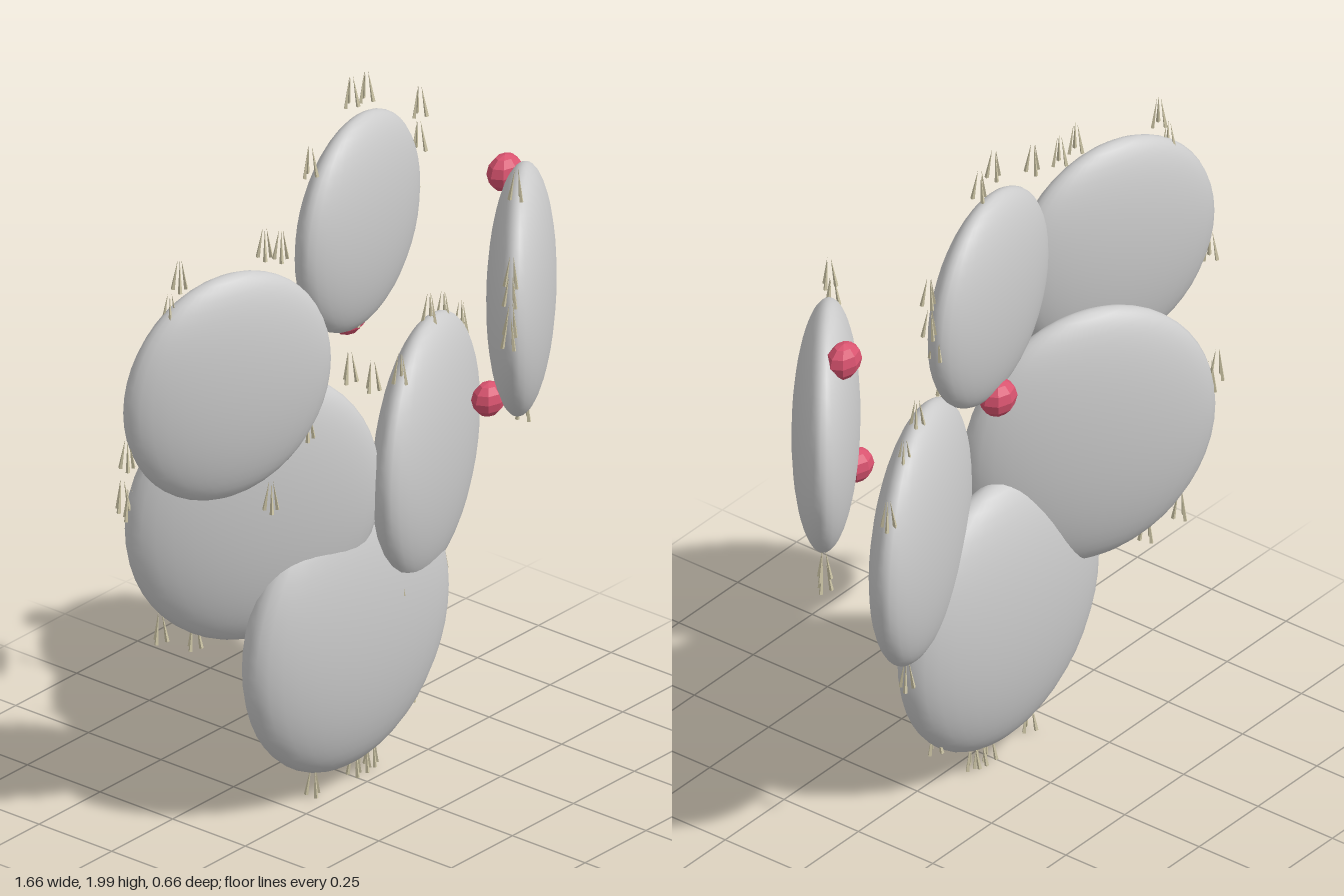
import * as THREE from 'three';

const padMat = new THREE.MeshStandardMaterial({ color: 0xcccccc });
const fruitMat = new THREE.MeshStandardMaterial({ color: 0xd9536f, flatShading: true });
const spineMat = new THREE.MeshStandardMaterial({ color: 0xd0c8a8, flatShading: true });

const padGeo = new THREE.SphereGeometry(1, 32, 24);
const fruitGeo = new THREE.SphereGeometry(1, 8, 6);
const spineGeo = new THREE.ConeGeometry(0.006, 0.09, 4);

// Each pad: centre, radii, yaw in degrees, and spine clusters as [x, y] near its rim
const PADS = [
  { name: 'basePad', at: [-0.03, 0.45, -0.05], r: [0.4, 0.4, 0.12], yaw: 0,
    spines: [[-0.16, 0.05], [0.01, 0.045], [0.05, 0.045], [0.08, 0.05], [0.24, 0.18]] },
  { name: 'lowerRightPad', at: [-0.315, 0.89, -0.13], r: [0.37, 0.385, 0.1], yaw: -25,
    spines: [[-0.47, 0.55], [-0.56, 0.59], [-0.64, 0.97], [-0.6, 0.94], [-0.06, 1.24], [0, 1.2], [-0.66, 1.0]] },
  { name: 'lowerLeftPad', at: [0.3, 0.86, -0.05], r: [0.36, 0.36, 0.095], yaw: 22,
    spines: [[0.08, 0.58], [0.42, 0.49], [0.44, 1.2], [0.33, 1.25], [0.58, 1.1], [0.1, 1.19]] },
  { name: 'upperRightPad', at: [-0.515, 1.345, -0.05], r: [0.325, 0.325, 0.088], yaw: -16,
    spines: [[-0.66, 1.71], [-0.69, 1.62], [-0.4, 1.73], [-0.35, 1.71], [-0.27, 1.16], [-0.38, 0.98], [-0.82, 1.23]] },
  { name: 'topPad', at: [0.135, 1.552, -0.147], r: [0.305, 0.303, 0.086], yaw: 11,
    spines: [[0.1, 1.95], [0.18, 1.93], [-0.12, 1.84], [0.465, 1.76], [0.46, 1.66], [0.42, 1.57], [0.1, 1.3], [-0.14, 1.45]] },
  { name: 'upperLeftPad', at: [0.543, 1.268, 0.075], r: [0.337, 0.338, 0.09], yaw: 35.8,
    spines: [[0.21, 1.34], [0.26, 1.35], [0.25, 1.44], [0.28, 1.48], [0.42, 1.65], [0.67, 0.93], [0.64, 0.87]] },
];

// Fruits: position and radii
const FRUITS = [
  [[0.143, 1.258, -0.187], [0.058, 0.052, 0.047]],
  [[0.61, 1.55, -0.038], [0.058, 0.052, 0.042]],
  [[0.355, 1.03, 0.12], [0.052, 0.048, 0.042]],
];

// A tuft of three thin spines whose tips lean together
function spineCluster(x, y, z, turn) {
  const tuft = new THREE.Group();
  tuft.name = 'spineCluster';
  for (let i = 0; i < 3; i++) {
    const arm = new THREE.Group();
    arm.rotation.y = turn + (i * Math.PI * 2) / 3;
    const spine = new THREE.Mesh(spineGeo, spineMat);
    spine.name = 'spine';
    spine.position.x = 0.013;
    spine.rotation.z = 0.16;
    arm.add(spine);
    tuft.add(arm);
  }
  tuft.position.set(x, y, z);
  return tuft;
}

export function createModel() {
  const model = new THREE.Group();
  model.name = 'cactus';

  PADS.forEach(({ name, at, r, yaw, spines }, p) => {
    const angle = THREE.MathUtils.degToRad(yaw);
    const pad = new THREE.Mesh(padGeo, padMat);
    pad.name = name;
    pad.position.set(...at);
    pad.scale.set(...r);
    pad.rotation.y = angle;
    model.add(pad);

    // Spine clusters stay in the plane of their pad
    spines.forEach(([x, y], i) => {
      const z = at[2] - (x - at[0]) * Math.tan(angle);
      model.add(spineCluster(x, y, z, p * 1.3 + i * 2.1));
    });
  });

  FRUITS.forEach(([at, r]) => {
    const fruit = new THREE.Mesh(fruitGeo, fruitMat);
    fruit.name = 'fruit';
    fruit.position.set(...at);
    fruit.scale.set(...r);
    model.add(fruit);
  });

  return model;
}
